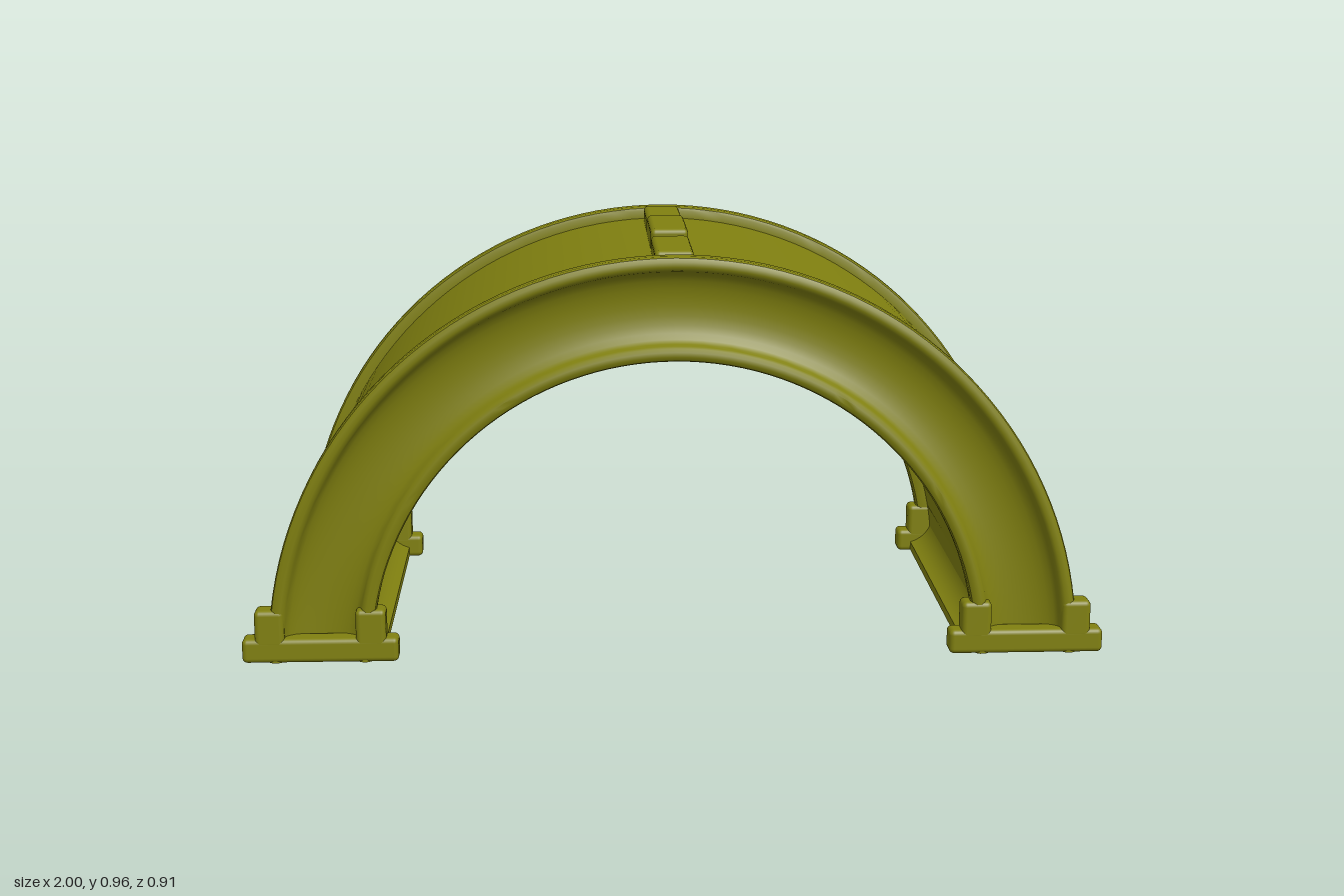
import * as THREE from 'three';
import { toCreasedNormals } from 'three/addons/utils/BufferGeometryUtils.js';
import { RoundedBoxGeometry } from 'three/addons/geometries/RoundedBoxGeometry.js';

const material = new THREE.MeshStandardMaterial({ color: 0x808010 });

function add(group, name, geometry) {
  const mesh = new THREE.Mesh(geometry, material);
  mesh.name = name;
  group.add(mesh);
}

// Rounded box given by its extents on each axis
function block(x0, x1, y0, y1, z0, z1, radius = 0.012) {
  return new RoundedBoxGeometry(x1 - x0, y1 - y0, z1 - z0, 3, radius)
    .translate((x0 + x1) / 2, (y0 + y1) / 2, (z0 + z1) / 2);
}

// Barrel vault: a closed (radius, depth) section swept through a half turn,
// with raised rims and a concave channel on each end
function vaultGeometry() {
  const mid = 0.82;
  const end = [
    [0.91, 0.402], [0.929, 0.402], [0.936, 0.405], [0.94, 0.413], [0.94, 0.44],
    [0.937, 0.448], [0.928, 0.454], [0.917, 0.454], [0.909, 0.449], [0.905, 0.44],
  ];
  const cove = [];
  for (let i = 1; i < 12; i++) {
    const a = Math.PI * i / 12;
    cove.push([mid + 0.085 * Math.cos(a), 0.44 - 0.038 * Math.sin(a)]);
  }
  const mirrored = end.map(([r, z]) => [2 * mid - r, z]).reverse();
  const front = [...end, ...cove, ...mirrored];
  const back = front.map(([r, z]) => [r, -z]).reverse();
  const section = [...front, ...back, front[0]].map(([r, z]) => new THREE.Vector2(r, z));
  const geometry = new THREE.LatheGeometry(section, 72, -Math.PI / 2, Math.PI);
  geometry.rotateX(-Math.PI / 2);
  return toCreasedNormals(geometry, 0.6);
}

// Plinth running along each wall, flaring out to the ground with a cove
function plinthGeometry(side) {
  const s = new THREE.Shape();
  s.moveTo(0.675, 0.003);
  s.lineTo(0.965, 0.003);
  s.lineTo(0.965, 0.025);
  s.quadraticCurveTo(0.915, 0.04, 0.905, 0.097);
  s.lineTo(0.735, 0.097);
  s.quadraticCurveTo(0.725, 0.04, 0.675, 0.025);
  s.closePath();
  const geometry = new THREE.ExtrudeGeometry(s, { depth: 0.802, bevelEnabled: false, curveSegments: 10 });
  geometry.translate(0, 0, -0.401);
  if (side < 0) geometry.rotateY(Math.PI);
  return toCreasedNormals(geometry, 0.6);
}

export function createModel() {
  const model = new THREE.Group();
  model.name = 'archTunnel';

  add(model, 'vault', vaultGeometry());

  for (const side of [1, -1]) {
    const label = side > 0 ? 'left' : 'right';
    add(model, label + 'Plinth', plinthGeometry(side));

    // Stepped feet under both ends of each wall
    for (const end of [1, -1]) {
      const foot = new THREE.Group();
      foot.name = label + (end > 0 ? 'FrontFoot' : 'BackFoot');
      const piece = (name, x0, x1, y0, y1) => {
        const g = block(x0, x1, y0, y1, 0.4, 0.456);
        g.translate(0, 0, end > 0 ? 0 : -0.856);
        g.translate(side > 0 ? 0 : -(x0 + x1), 0, 0);
        add(foot, name, g);
      };
      piece('footBase', 0.64, 1, 0, 0.057);
      piece('outerStep', 0.902, 0.97, 0.035, 0.125);
      piece('innerStep', 0.668, 0.738, 0.035, 0.125);
      model.add(foot);
    }
  }

  // Row of keystones through the crown
  add(model, 'centreKeystone', block(-0.045, 0.045, 0.683, 0.956, -0.127, 0.127));
  add(model, 'frontKeystone', block(-0.045, 0.045, 0.695, 0.944, 0.14, 0.392));
  add(model, 'backKeystone', block(-0.045, 0.045, 0.695, 0.944, -0.392, -0.14));

  return model;
}
